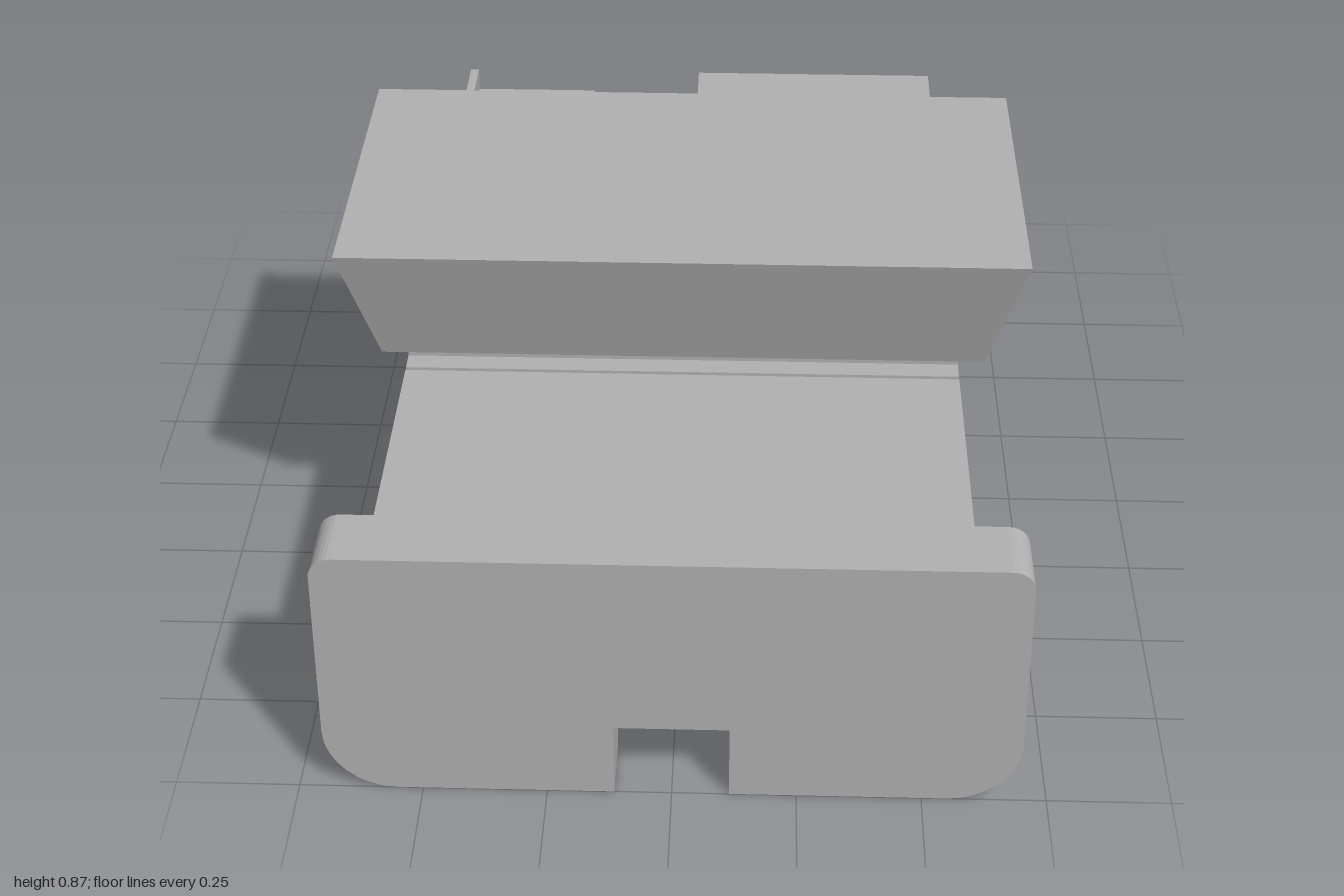
import * as THREE from 'three';

const grey = new THREE.MeshStandardMaterial({ color: 0xb2b2b2 });
grey.name = 'grey metal';

export function createModel() {
  const model = new THREE.Group();
  const add = (name, geometry) => {
    const mesh = new THREE.Mesh(geometry, grey);
    mesh.name = name;
    model.add(mesh);
    return mesh;
  };
  const box = (name, x0, x1, y0, y1, z0, z1) =>
    add(name, new THREE.BoxGeometry(x1 - x0, y1 - y0, z1 - z0))
      .position.set((x0 + x1) / 2, (y0 + y1) / 2, (z0 + z1) / 2);

  // Extrude a side profile of [z, y] points from x0 to x1, then optionally move its vertices
  const slice = (name, points, x0, x1, hole, rule) => {
    const shape = new THREE.Shape(points.map(([z, y]) => new THREE.Vector2(-z, y)));
    if (hole) shape.holes.push(hole);
    const g = new THREE.ExtrudeGeometry(shape, { depth: x1 - x0, bevelEnabled: false, curveSegments: 32 });
    g.rotateY(Math.PI / 2).translate(x0, 0, 0);
    if (rule) {
      const p = g.attributes.position, v = new THREE.Vector3();
      for (let i = 0; i < p.count; i++) {
        rule(v.fromBufferAttribute(p, i));
        p.setXYZ(i, v.x, v.y, v.z);
      }
      g.computeVertexNormals();
    }
    return add(name, g);
  };
  // Same extrusion placed on the side s = +1 or -1, between |x| = a and b
  const sideSlice = (name, points, s, a, b, hole, rule) =>
    slice(name, points, s > 0 ? a : -b, s > 0 ? b : -a, hole, rule);

  // Front plate with rounded corners and a bottom notch
  const plate = new THREE.Shape();
  plate.moveTo(0.115, 0).lineTo(0.55, 0);
  plate.absarc(0.55, 0.145, 0.145, -Math.PI / 2, 0);
  plate.absarc(0.645, 0.535, 0.045, 0, Math.PI / 2);
  plate.absarc(-0.645, 0.535, 0.045, Math.PI / 2, Math.PI);
  plate.absarc(-0.55, 0.145, 0.145, Math.PI, Math.PI * 1.5);
  plate.lineTo(-0.115, 0).lineTo(-0.115, 0.17).lineTo(0.115, 0.17);
  add('frontPlate', new THREE.ExtrudeGeometry(plate, { depth: 0.14, bevelEnabled: false, curveSegments: 4 })
    .translate(0, 0, 0.86));

  // Front block: channelled centre, solid sides, bevelled outer cheeks
  slice('frontBlockCentre', [[0.86, 0.175], [0.415, 0.175], [0.36, 0.235], [0.36, 0.58], [0.86, 0.58]], -0.22, 0.22);
  const knobRecess = new THREE.Path();
  knobRecess.absarc(-0.62, 0.35, 0.16, Math.PI + 0.42, Math.PI * 3 + 0.09);
  knobRecess.lineTo(-0.855, 0.335).lineTo(-0.855, 0.285);
  for (const s of [1, -1]) {
    sideSlice('frontBlockSide', [[0.86, 0.115], [0.47, 0.115], [0.36, 0.235], [0.36, 0.58], [0.86, 0.58]], s, 0.22, 0.53);
    sideSlice('frontBlockCheek', [[0.86, 0.115], [0.52, 0.115], [0.36, 0.28], [0.36, 0.58], [0.86, 0.58]],
      s, 0.53, 0.58, s < 0 ? knobRecess : null, v => {
        if (Math.abs(v.x) > 0.55) return;
        if (Math.abs(v.z - 0.52) < 1e-4 && v.y < 0.12) v.z = 0.47;
        if (Math.abs(v.y - 0.28) < 1e-4 && v.z < 0.37) v.y = 0.235;
      });
  }
  box('joint', -0.57, 0.57, 0.28, 0.52, 0.3, 0.4);

  // Main body: rounded lower back edge shared by the profiles
  const heel = [];
  for (let i = 0; i <= 6; i++) {
    const a = Math.PI * (1.5 - i / 12);
    heel.push([-0.87 + 0.13 * Math.cos(a), 0.365 + 0.13 * Math.sin(a)]);
  }
  const pocketTop = [[-0.28, 0.525], [-0.28, 0.58], [0.35, 0.58]];
  const fullTop = [[-1, 0.58], [0.35, 0.58]];
  const core = [[0.35, 0.235], [0.2, 0.235], [0.2, 0.275], [-0.28, 0.275], [-0.28, 0.235],
    ...heel, [-1, 0.485], [-0.955, 0.485], [-0.955, 0.525]];
  slice('bodyCorePocketed', [...core, ...pocketTop], -0.265, 0);
  slice('bodyCoreFull', [...core, [-1, 0.525], ...fullTop], 0, 0.265);

  // Body sides above the slanted crease
  const upper = [[0.35, 0.235], [0.14, 0.235], [-1, 0.51]];
  slice('bodyUpperSide', [...upper, ...fullTop], 0.265, 0.58);
  slice('bodyUpperSidePocketed', [...upper, [-1, 0.525], ...pocketTop], -0.56, -0.265);
  slice('pocketWall', [...upper, ...fullTop], -0.58, -0.56);

  // Body sides below the crease lean inward; each has a pin hole
  for (const s of [1, -1]) {
    const hole = new THREE.Path();
    hole.absarc(0.865, 0.362, 0.08, 0, Math.PI * 2);
    sideSlice('bodyLowerSide', [[0.14, 0.235], ...heel, [-1, 0.51]], s, 0.265, 0.58, hole, v => {
      if (Math.abs(v.x) < 0.5) return;
      const crease = 0.235 + (0.14 - v.z) * 0.2412;
      v.x = s * (0.58 - 0.6 * Math.max(0, crease - v.y));
    });
  }
  const pin = add('hingePin', new THREE.CylinderGeometry(0.08, 0.08, 0.88, 32));
  pin.rotation.z = Math.PI / 2;
  pin.position.set(0, 0.362, -0.865);

  // Slotted screw recessed in the underside
  const under = (name, shape, y0, y1) => add(name,
    new THREE.ExtrudeGeometry(shape, { depth: y1 - y0, bevelEnabled: false, curveSegments: 32 })
      .rotateX(Math.PI / 2).translate(0, y1, 0));
  const bottom = new THREE.Shape([[-0.265, -0.28], [0.265, -0.28], [0.265, 0.2], [-0.265, 0.2]]
    .map(([x, z]) => new THREE.Vector2(x, z)));
  const recess = new THREE.Path();
  recess.absarc(0, -0.04, 0.215, 0, Math.PI * 2);
  bottom.holes.push(recess);
  under('undersidePanel', bottom, 0.235, 0.275);
  const tilt = 0.48, cut = Math.asin(0.025 / 0.205);
  for (const turn of [tilt, tilt + Math.PI]) {
    const half = new THREE.Shape();
    half.absarc(0, -0.04, 0.205, turn + cut, turn + Math.PI - cut);
    under('screwHeadHalf', half, 0.243, 0.275);
  }

  // Flared top block on a low neck
  box('topNeck', -0.58, 0.58, 0.575, 0.592, -0.275, 0.305);
  const flare = new THREE.BoxGeometry(1.42, 0.275, 0.73).toNonIndexed();
  const p = flare.attributes.position;
  for (let i = 0; i < p.count; i++) {
    if (p.getY(i) > 0) continue;
    p.setX(i, Math.sign(p.getX(i)) * 0.635);
    p.setZ(i, Math.sign(p.getZ(i)) * 0.295);
  }
  flare.computeVertexNormals();
  add('topBlock', flare).position.set(0, 0.7275, 0.013);

  return model;
}
